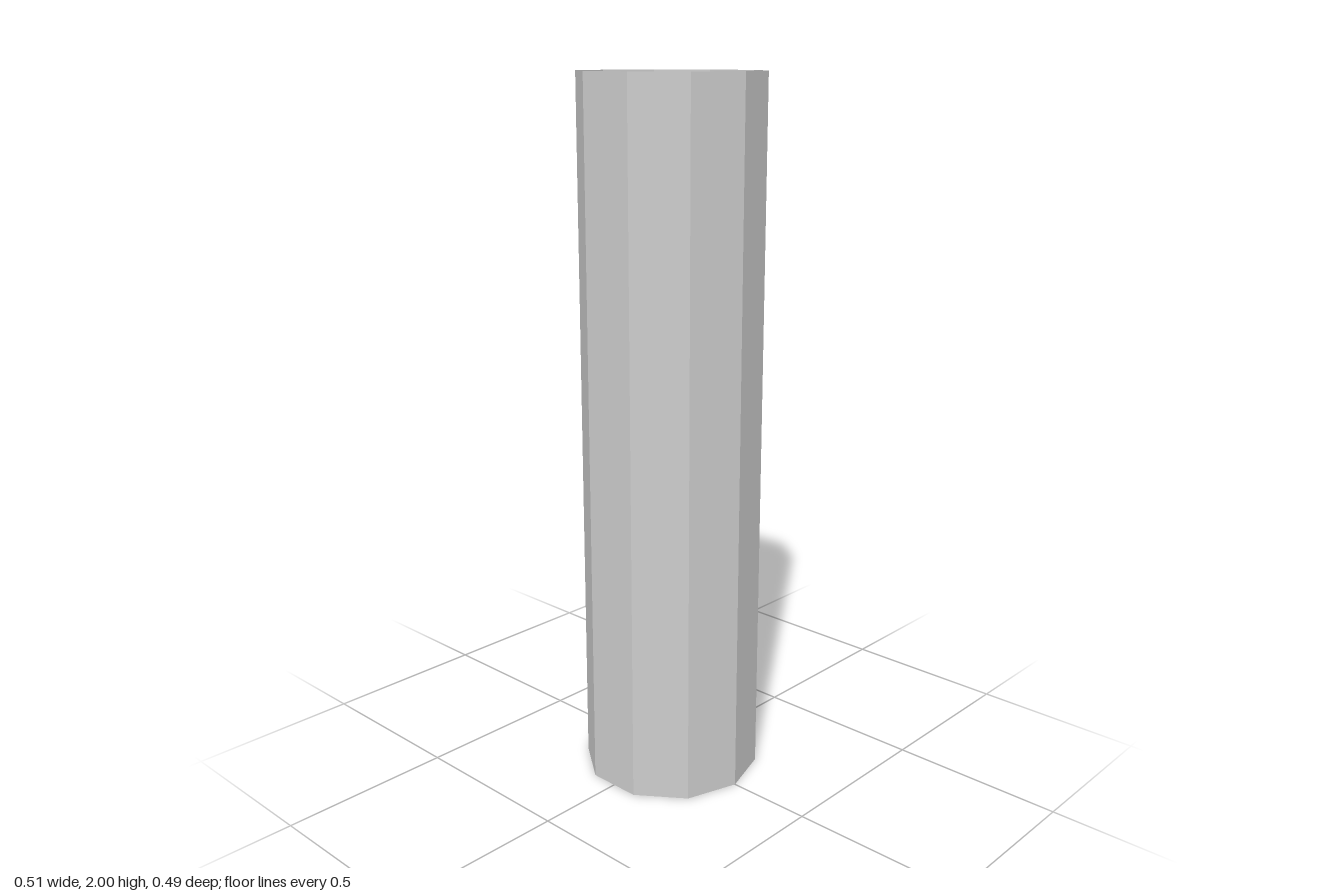
import * as THREE from 'three';

const SIDES = 5;
const BAR_RADIUS = 0.0117;

// Centre line of one rung, seen from above as [x, z], from right leg to left leg
const RUNG_PATH = [
  [-0.1265, -0.224], [-0.1265, -0.174], [-0.1085, -0.1645], [0.097, -0.1645],
  [0.112, -0.174], [0.1185, -0.192], [0.1185, -0.229],
].map(([x, z]) => new THREE.Vector2(x, z));

// Sweeps a five-sided bar along a flat path with mitred bends and closed ends
function sweptBar(path) {
  const last = path.length - 1;
  const normal = (a, b) => {
    const t = b.clone().sub(a).normalize();
    return new THREE.Vector2(-t.y, t.x);
  };
  const positions = [];
  const index = [];
  path.forEach((p, i) => {
    const before = normal(path[Math.max(i - 1, 0)], path[Math.max(i, 1)]);
    const after = normal(path[Math.min(i, last - 1)], path[Math.min(i + 1, last)]);
    const miter = before.clone().add(after).normalize();
    miter.divideScalar(miter.dot(before));
    for (let k = 0; k < SIDES; k++) {
      const angle = ((k + 0.5) / SIDES) * Math.PI * 2;
      const out = BAR_RADIUS * Math.cos(angle);
      positions.push(p.x + miter.x * out, BAR_RADIUS * Math.sin(angle), p.y + miter.y * out);
    }
  });
  for (let i = 0; i < last; i++) {
    for (let k = 0; k < SIDES; k++) {
      const a = i * SIDES + k;
      const b = i * SIDES + ((k + 1) % SIDES);
      index.push(a, a + SIDES, b, b, a + SIDES, b + SIDES);
    }
  }
  const end = last * SIDES;
  for (let k = 1; k < SIDES - 1; k++) {
    index.push(0, k, k + 1, end, end + k + 1, end + k);
  }
  const geometry = new THREE.BufferGeometry();
  geometry.setAttribute('position', new THREE.Float32BufferAttribute(positions, 3));
  geometry.setIndex(index);
  geometry.computeVertexNormals();
  return geometry;
}

export function createModel() {
  const model = new THREE.Group();
  model.name = 'ladderShaft';

  // Open ten-sided shaft wall with no thickness
  const wall = new THREE.Mesh(
    new THREE.CylinderGeometry(0.255, 0.255, 2, 10, 1, true, Math.PI / 2),
    new THREE.MeshStandardMaterial({ color: 0xcccccc, flatShading: true, side: THREE.DoubleSide }),
  );
  wall.name = 'shaftWall';
  wall.position.y = 1;
  model.add(wall);

  // Ladder of bent rungs whose legs pass through the back wall
  const ladder = new THREE.Group();
  ladder.name = 'ladder';
  const rungGeometry = sweptBar(RUNG_PATH);
  const rungMaterial = new THREE.MeshStandardMaterial({ color: 0xcccccc, flatShading: true });
  for (let i = 0; i < 8; i++) {
    const rung = new THREE.Mesh(rungGeometry, rungMaterial);
    rung.name = `rung${i + 1}`;
    rung.position.y = 0.07 + i * 0.2562;
    ladder.add(rung);
  }
  model.add(ladder);
  return model;
}
